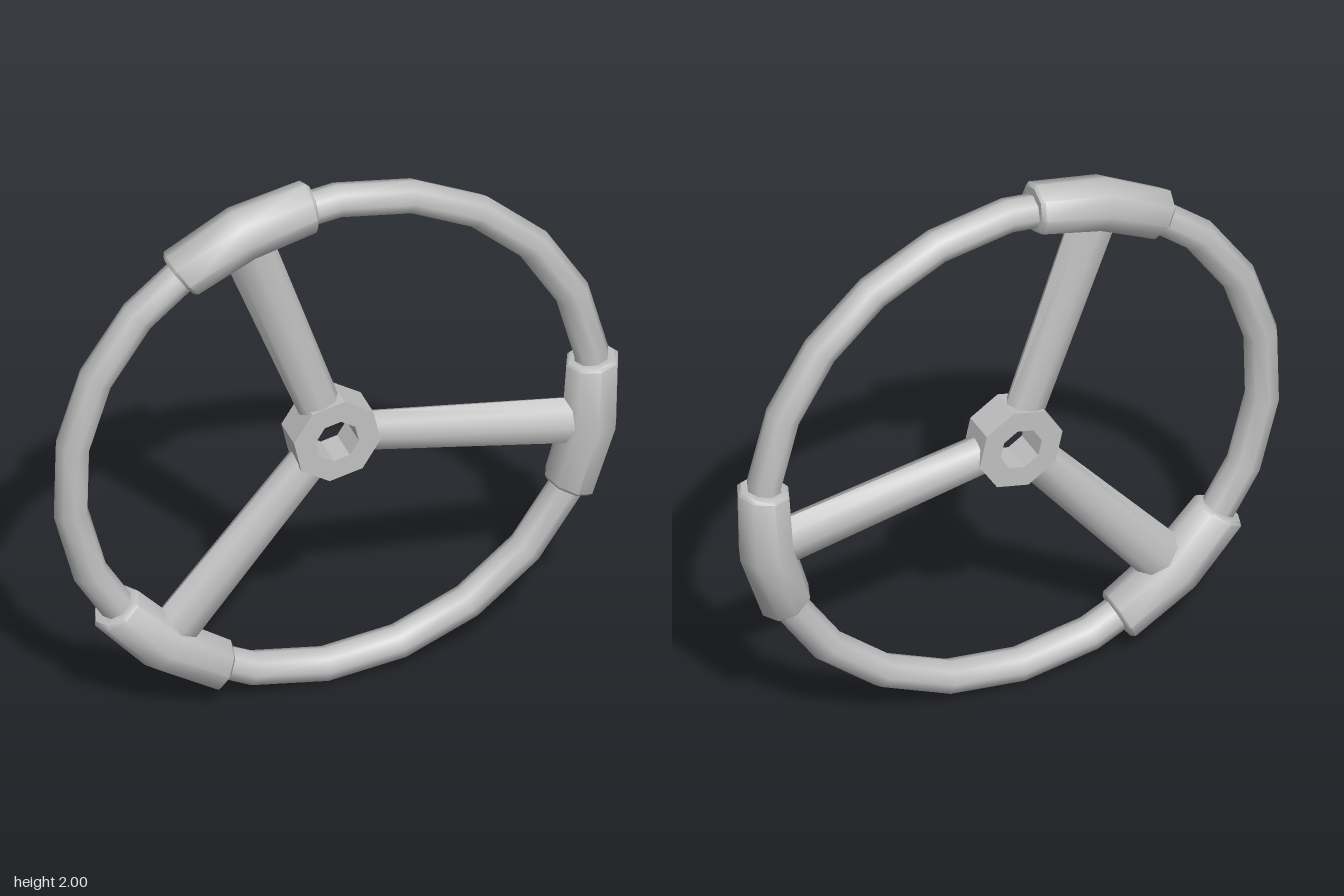
import * as THREE from 'three';
import { toCreasedNormals } from 'three/addons/utils/BufferGeometryUtils.js';

const RIM_RADIUS = 0.924;
const SPOKE_ANGLES = [-10, 110, 230];

// Eight-sided sleeve: lathed along y, then bent around the rim circle
function sleeveGeometry() {
  const profile = [
    [0.05, -0.252], [0.08, -0.252], [0.092, -0.24], [0.097, 0],
    [0.092, 0.24], [0.08, 0.252], [0.05, 0.252],
  ].map(([r, y]) => new THREE.Vector2(r, y));
  const geo = new THREE.LatheGeometry(profile, 8);
  const p = geo.attributes.position;
  for (let i = 0; i < p.count; i++) {
    const a = p.getY(i) / RIM_RADIUS;
    const r = RIM_RADIUS + p.getX(i);
    p.setXY(i, r * Math.cos(a), r * Math.sin(a));
  }
  return toCreasedNormals(geo, 0.84);
}

// Tapered, flattened spoke running outward along +x
function spokeGeometry() {
  const inner = 0.13, outer = 0.88;
  const geo = new THREE.CylinderGeometry(0.09, 0.073, outer - inner, 8);
  geo.translate(0, (outer + inner) / 2, 0);
  geo.rotateZ(-Math.PI / 2);
  const p = geo.attributes.position;
  for (let i = 0; i < p.count; i++) {
    const t = (p.getX(i) - inner) / (outer - inner);
    p.setZ(i, p.getZ(i) * THREE.MathUtils.lerp(0.8, 0.67, t));
  }
  return toCreasedNormals(geo, 1.0);
}

// Octagonal hub with an octagonal hole
function hubGeometry() {
  const octagon = (r) => Array.from({ length: 8 }, (_, i) => {
    const a = THREE.MathUtils.degToRad(-10 + i * 45);
    return new THREE.Vector2(r * Math.cos(a), r * Math.sin(a));
  });
  const shape = new THREE.Shape(octagon(0.155));
  shape.holes.push(new THREE.Path(octagon(0.077).reverse()));
  const geo = new THREE.ExtrudeGeometry(shape, { depth: 0.124, bevelEnabled: false });
  return geo.translate(0, 0, -0.062);
}

export function createModel() {
  const group = new THREE.Group();
  group.name = 'handwheel';
  const metal = new THREE.MeshStandardMaterial({ color: 0xc0c0c0 });
  metal.name = 'grey metal';

  const wheel = new THREE.Group();
  wheel.name = 'wheel';
  wheel.position.set(-0.02, 1, 0);
  group.add(wheel);

  const add = (geo, name, degrees = 0) => {
    const mesh = new THREE.Mesh(geo, metal);
    mesh.name = name;
    mesh.rotation.z = THREE.MathUtils.degToRad(degrees);
    wheel.add(mesh);
  };

  add(new THREE.TorusGeometry(RIM_RADIUS, 0.06, 8, 22), 'rim', 6.8);
  add(hubGeometry(), 'hub');

  // Three spokes, each ending in a sleeve on the rim
  const spoke = spokeGeometry();
  const sleeve = sleeveGeometry();
  SPOKE_ANGLES.forEach((angle, i) => {
    add(spoke, `spoke${i + 1}`, angle);
    add(sleeve, `sleeve${i + 1}`, angle);
  });

  return group;
}
